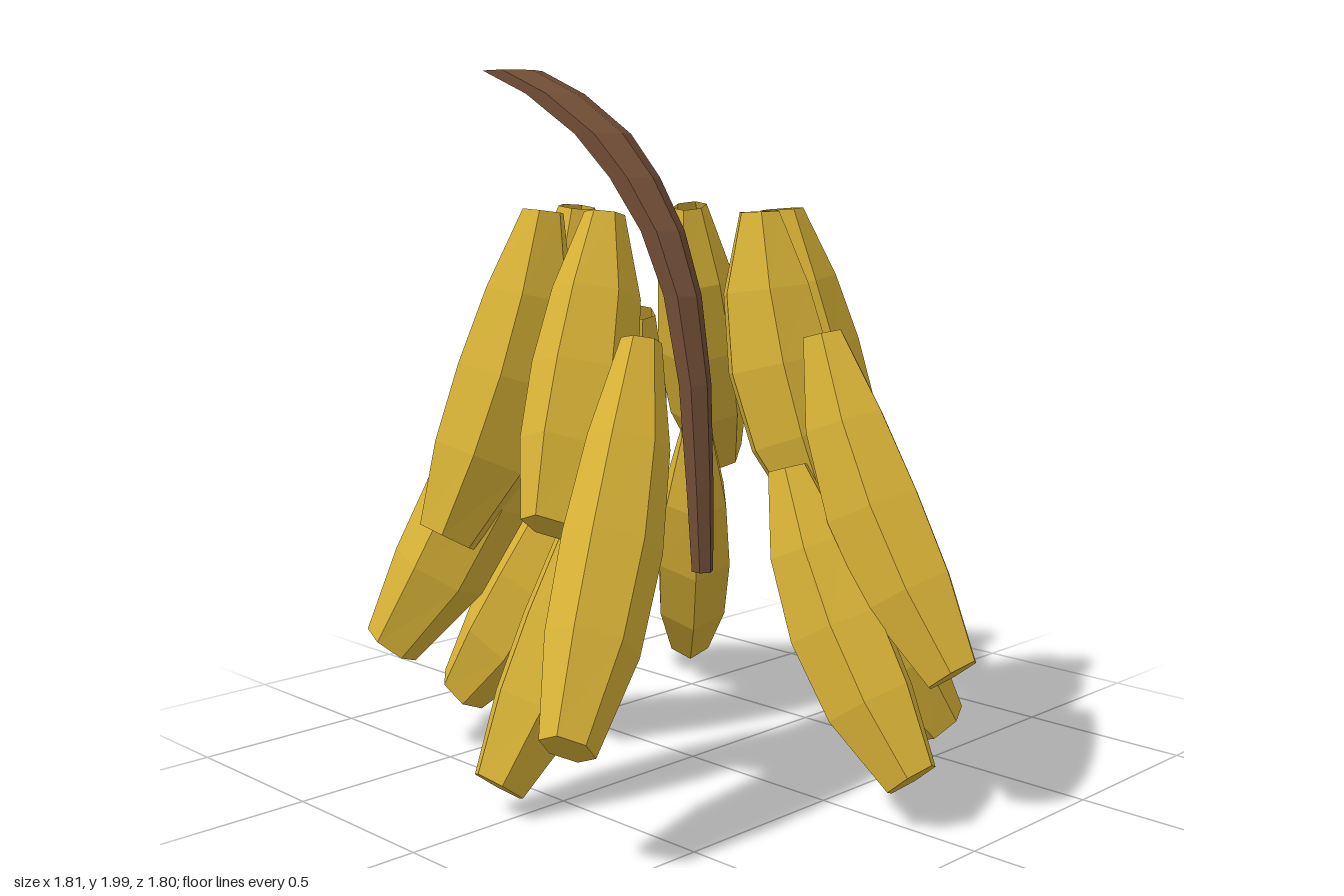
import * as THREE from 'three';

// Bananas are open at the top, so their inside shows
const yellow = new THREE.MeshStandardMaterial({ color: 0xdab437, side: THREE.DoubleSide });
yellow.name = 'banana yellow';
const brown = new THREE.MeshStandardMaterial({ color: 0x714d36 });
brown.name = 'stem brown';

const SIDES = 6;

// Faceted skin over rings; each ring lists its points counter-clockwise seen from its start end.
function skin(rings, startCap) {
  const pos = [];
  const tri = (a, b, c) => [a, b, c].forEach((p) => pos.push(p.x, p.y, p.z));
  for (let i = 0; i < rings.length - 1; i++) {
    for (let j = 0; j < SIDES; j++) {
      const k = (j + 1) % SIDES;
      const [a, b, c, d] = [rings[i][j], rings[i][k], rings[i + 1][k], rings[i + 1][j]];
      tri(a, d, b);
      tri(b, d, c);
    }
  }
  const first = rings[0], last = rings[rings.length - 1];
  for (let j = 1; j < SIDES - 1; j++) {
    if (startCap) tri(first[0], first[j], first[j + 1]);
    tri(last[0], last[j + 1], last[j]);
  }
  const g = new THREE.BufferGeometry();
  g.setAttribute('position', new THREE.Float32BufferAttribute(pos, 3));
  g.computeVertexNormals();
  return g;
}

// Hexagon around a centre, spanned by u and v (u x v points back to the start end)
function hexagon(centre, u, v, ru, rv) {
  return Array.from({ length: SIDES }, (_, j) => {
    const a = (j / SIDES) * Math.PI * 2;
    return centre.clone().addScaledVector(u, ru * Math.cos(a)).addScaledVector(v, rv * Math.sin(a));
  });
}

// Banana hanging from top to bottom, flaring outward, slightly flattened, with one ridge facing outward
function banana(top, bottom, girth) {
  const a = new THREE.Vector3(...top), b = new THREE.Vector3(...bottom);
  const chord = b.clone().sub(a);
  const side = chord.clone().cross(new THREE.Vector3(0, 1, 0)).normalize();
  const outward = side.clone().cross(chord).normalize();
  if (outward.x * chord.x + outward.z * chord.z < 0) outward.negate();
  const mid = a.clone().lerp(b, 0.5).addScaledVector(outward, -0.1 * chord.length());
  const curve = new THREE.QuadraticBezierCurve3(a, mid, b);
  const radii = [0.062, 0.125 * girth, 0.15 * girth, 0.14 * girth, 0.083 * girth];
  return skin(radii.map((r, i) => {
    const t = i / (radii.length - 1);
    const back = curve.getTangent(t).negate();
    const u = outward.clone().addScaledVector(back, -outward.dot(back)).normalize();
    const v = back.clone().cross(u);
    return hexagon(curve.getPoint(t), u, v, r, r * 0.85);
  }), false);
}

// Three tiers of bananas: [top centre, bottom centre]
const tiers = [
  { name: 'upperBanana', girth: 1.08, ends: [
    [[-0.53, 1.59, -0.04], [-0.79, 0.79, -0.045]],
    [[-0.31, 1.59, 0.28], [-0.4, 0.69, 0.57]],
    [[-0.045, 1.59, 0.29], [0.065, 0.79, 0.59]],
    [[0.16, 1.59, -0.1], [0.36, 0.77, -0.15]],
    [[0.055, 1.59, -0.31], [0.21, 0.78, -0.47]],
    [[-0.35, 1.59, -0.34], [-0.51, 0.77, -0.64]],
  ] },
  { name: 'middleBanana', girth: 1, ends: [
    [[0.18, 1.27, 0.37], [0.41, 0.34, 0.84]],
    [[0.41, 1.27, -0.08], [0.84, 0.41, -0.11]],
    [[0.02, 1.27, -0.51], [0.13, 0.41, -0.84]],
    [[-0.42, 1.27, -0.19], [-0.81, 0.41, -0.43]],
    [[-0.35, 1.27, 0.28], [-0.635, 0.34, 0.6]],
  ] },
  { name: 'lowerBanana', girth: 1, ends: [
    [[0.36, 0.91, 0], [0.79, 0.14, -0.01]],
    [[0.155, 0.91, -0.29], [0.425, 0.06, -0.625]],
    [[-0.02, 0.91, 0.29], [-0.04, 0.09, 0.69]],
    [[-0.295, 0.91, 0.115], [-0.71, 0.12, 0.285]],
    [[-0.25, 0.91, -0.27], [-0.57, 0.14, -0.56]],
  ] },
];

export function createModel() {
  const group = new THREE.Group();
  group.name = 'bananaBunch';

  for (const { name, girth, ends } of tiers) {
    ends.forEach(([top, bottom], i) => {
      const mesh = new THREE.Mesh(banana(top, bottom, girth), yellow);
      mesh.name = name + (i + 1);
      group.add(mesh);
    });
  }

  // Stem: level hexagons [x, y, radius] from the bent-over tip down the middle
  const path = [
    [-0.81, 2, 0.093], [-0.61, 1.925, 0.09], [-0.4, 1.805, 0.085], [-0.265, 1.68, 0.075],
    [-0.15, 1.53, 0.065], [-0.07, 1.35, 0.056], [-0.02, 1.1, 0.048], [0, 0.8, 0.04], [0.01, 0.56, 0.032],
  ];
  const u = new THREE.Vector3(1, 0, 0), v = new THREE.Vector3(0, 0, -1);
  const rings = path.map(([x, y, r]) => hexagon(new THREE.Vector3(x, y, -0.03), u, v, r, r));
  const stem = new THREE.Mesh(skin(rings, true), brown);
  stem.name = 'stem';
  group.add(stem);

  return group;
}
